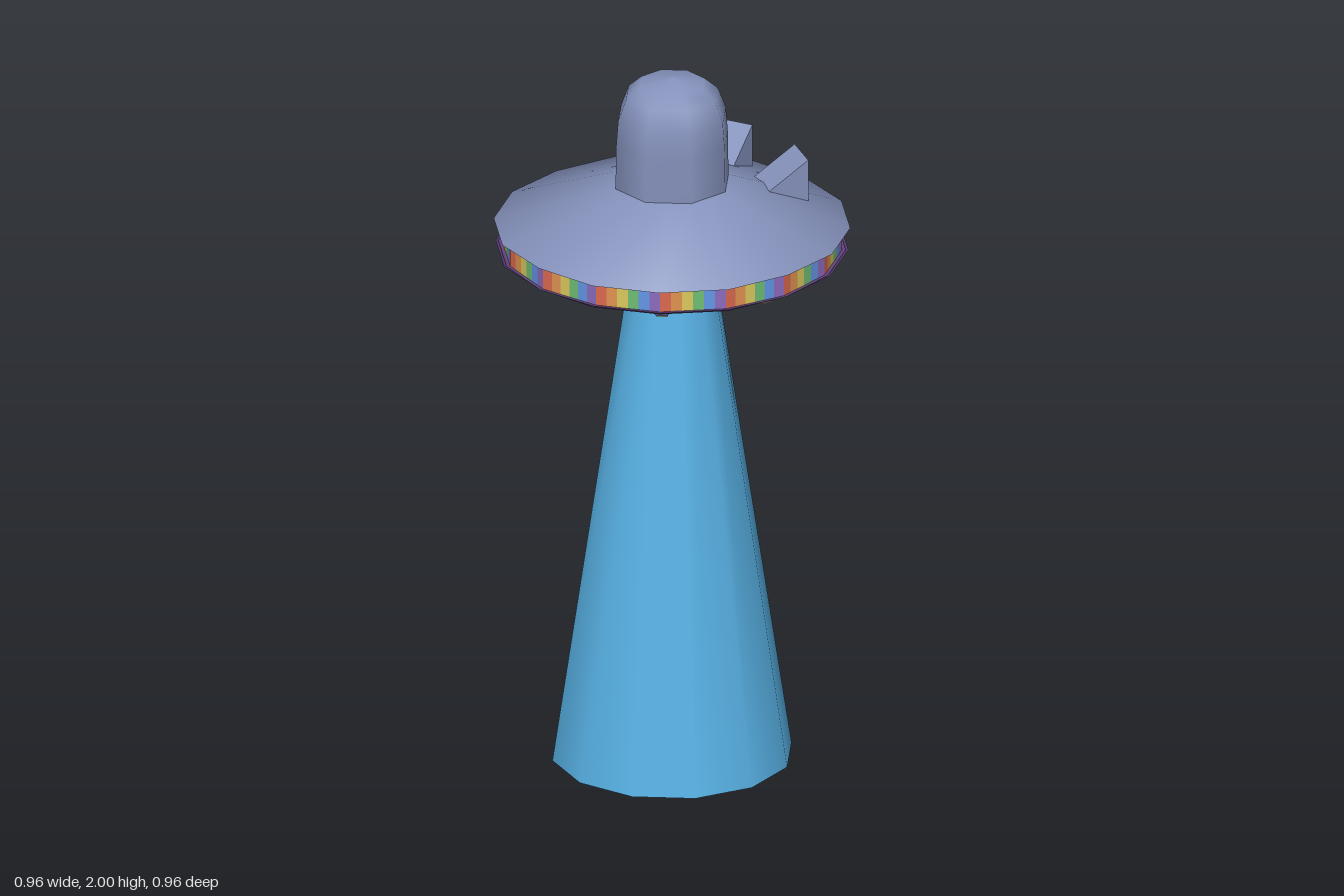
import * as THREE from 'three';
import { mergeGeometries, mergeVertices } from 'three/addons/utils/BufferGeometryUtils.js';

const mat = (name, color, side = THREE.FrontSide) => {
  const m = new THREE.MeshStandardMaterial({ color, side });
  m.name = name;
  return m;
};

const OCT = Math.cos(Math.PI / 8); // octagon apothem / corner radius

// 16-sided conical skin: inner ring follows an octagon, off-axis rim corners sit slightly further out
function saucerSkin(rTop, rBottom, yTop, yBottom, innerApothem) {
  const cone = new THREE.CylinderGeometry(rTop, rBottom, yTop - yBottom, 16, 1, true);
  cone.translate(0, (yTop + yBottom) / 2, 0);
  cone.deleteAttribute('uv');
  cone.deleteAttribute('normal');
  const g = mergeVertices(cone, 1e-4), p = g.attributes.position;
  const isRim = (i) => Math.hypot(p.getX(i), p.getZ(i)) > 0.4;
  for (let i = 0; i < p.count; i++) {
    const x = p.getX(i), z = p.getZ(i), r = Math.hypot(x, z);
    const step = Math.round(Math.atan2(x, z) / (Math.PI / 8));
    const s = isRim(i)
      ? (step % 4 === 0 ? 1 : 1.015)
      : innerApothem / (step % 2 === 0 ? 1 : OCT) / r;
    p.setXYZ(i, x * s, p.getY(i), z * s);
  }
  g.computeVertexNormals();
  // Rim normals lean outward so the skin rounds softly into the band
  const n = g.attributes.normal, v = new THREE.Vector3();
  for (let i = 0; i < p.count; i++) {
    if (!isRim(i)) continue;
    const out = new THREE.Vector3(p.getX(i), 0, p.getZ(i)).normalize();
    v.fromBufferAttribute(n, i).addScaledVector(out, 0.7).normalize();
    n.setXYZ(i, v.x, v.y, v.z);
  }
  return g;
}

export function createModel() {
  const model = new THREE.Group();
  const hull = mat('hull grey blue', 0x8592bc, THREE.DoubleSide);
  const under = mat('underside purple', 0x62437c, THREE.DoubleSide);
  const beamMat = mat('beam blue', 0x58b2e6, THREE.DoubleSide);
  const yellow = mat('yellow', 0xdcca5e);
  const stripes = [
    mat('red', 0xdc6a50), mat('orange', 0xe29452), yellow,
    mat('green', 0x70be74), mat('blue', 0x669aec), mat('violet', 0x8c6cc0),
  ];
  const add = (name, geo, material, parent = model) => {
    const m = new THREE.Mesh(geo, material);
    m.name = name;
    parent.add(m);
    return m;
  };
  const V = (r, y) => new THREE.Vector2(r / OCT, y);

  // Light beam, open at the bottom
  const beam = new THREE.CylinderGeometry(0.12, 0.332, 1.42, 12, 1, true);
  add('beam', beam.translate(0, 0.71, 0), beamMat);

  // Saucer top and underside, with the flat lips either side of the band
  add('saucerTop', saucerSkin(0.15, 0.48, 1.69, 1.567, 0.15), hull);
  add('saucerUnderside', saucerSkin(0.475, 0.2, 1.502, 1.42, 0.2), under);
  const lip = (name, r, y, material) =>
    add(name, new THREE.RingGeometry(0.44, r, 16).rotateX(-Math.PI / 2).translate(0, y, 0), material);
  lip('upperLip', 0.48, 1.567, hull);
  lip('lowerLip', 0.475, 1.502, under);

  // Eight-sided dome
  const domeProfile = [V(0.15, 1.69), V(0.148, 1.82), V(0.143, 1.89), V(0.122, 1.95), V(0.085, 1.985), V(0, 2)];
  add('dome', new THREE.LatheGeometry(domeProfile, 8, Math.PI / 8), hull);

  // Beam collar: sloped ring, flat bottom and inner wall
  const collarRing = (name, a, b) =>
    add(name, new THREE.LatheGeometry([a, b], 8, Math.PI / 8), hull);
  collarRing('collarSlope', V(0.148, 1.37), V(0.2, 1.42));
  collarRing('collarBottom', V(0.138, 1.37), V(0.148, 1.37));
  collarRing('collarInside', V(0.138, 1.42), V(0.138, 1.37));

  // Striped band: six colours on each of sixteen facets
  const bandR = 0.465, facet = 2 * bandR * Math.sin(Math.PI / 16), w = facet / 6;
  stripes.forEach((material, c) => {
    const plates = [];
    for (let k = 0; k < 16; k++) {
      const g = new THREE.PlaneGeometry(w, 0.065);
      g.translate((c - 2.5) * w, 1.5345, bandR * Math.cos(Math.PI / 16));
      plates.push(g.rotateY((k + 0.5) * Math.PI / 8));
    }
    add('bandStripes', mergeGeometries(plates), material);
  });

  // Eight lamps under the rim
  for (let k = 0; k < 8; k++) {
    const lamp = new THREE.Group();
    lamp.name = 'lamp';
    const pivot = new THREE.Group();
    pivot.position.set(0, 1.474, 0.378);
    pivot.rotation.x = -0.29;
    const housing = new THREE.CylinderGeometry(0.042, 0.022, 0.02, 4, 1, true).rotateY(Math.PI / 4);
    add('lampHousing', housing.translate(0, -0.008, 0), hull, pivot);
    add('lampBulb', new THREE.BoxGeometry(0.03, 0.008, 0.03).translate(0, -0.016, 0), yellow, pivot);
    lamp.add(pivot);
    lamp.rotation.y = k * Math.PI / 4;
    model.add(lamp);
  }

  // Two wedge scoops on the rear, with a shallow recess on the outward side
  const width = 0.118, wall = 0.005;
  const slab = (points, depth, offset) =>
    new THREE.ExtrudeGeometry(new THREE.Shape(points.map(([r, y]) => new THREE.Vector2(r, y))),
      { depth, bevelEnabled: false }).translate(0, 0, offset).rotateY(-Math.PI / 2);
  const cheek = [[0.254, 1.645], [0.372, 1.595], [0.372, 1.727]];
  const core = [[0.254, 1.645], [0.36, 1.6], [0.36, 1.716], [0.372, 1.723], [0.372, 1.727]];
  for (const side of [-1, 1]) {
    const scoop = new THREE.Group();
    scoop.name = 'rearScoop';
    add('scoopCheek', slab(cheek, wall, -width / 2), hull, scoop);
    add('scoopCheek', slab(cheek, wall, width / 2 - wall), hull, scoop);
    add('scoopCore', slab(core, width - 2 * wall, wall - width / 2), hull, scoop);
    scoop.rotation.y = Math.PI + side * Math.PI / 8;
    model.add(scoop);
  }
  return model;
}
